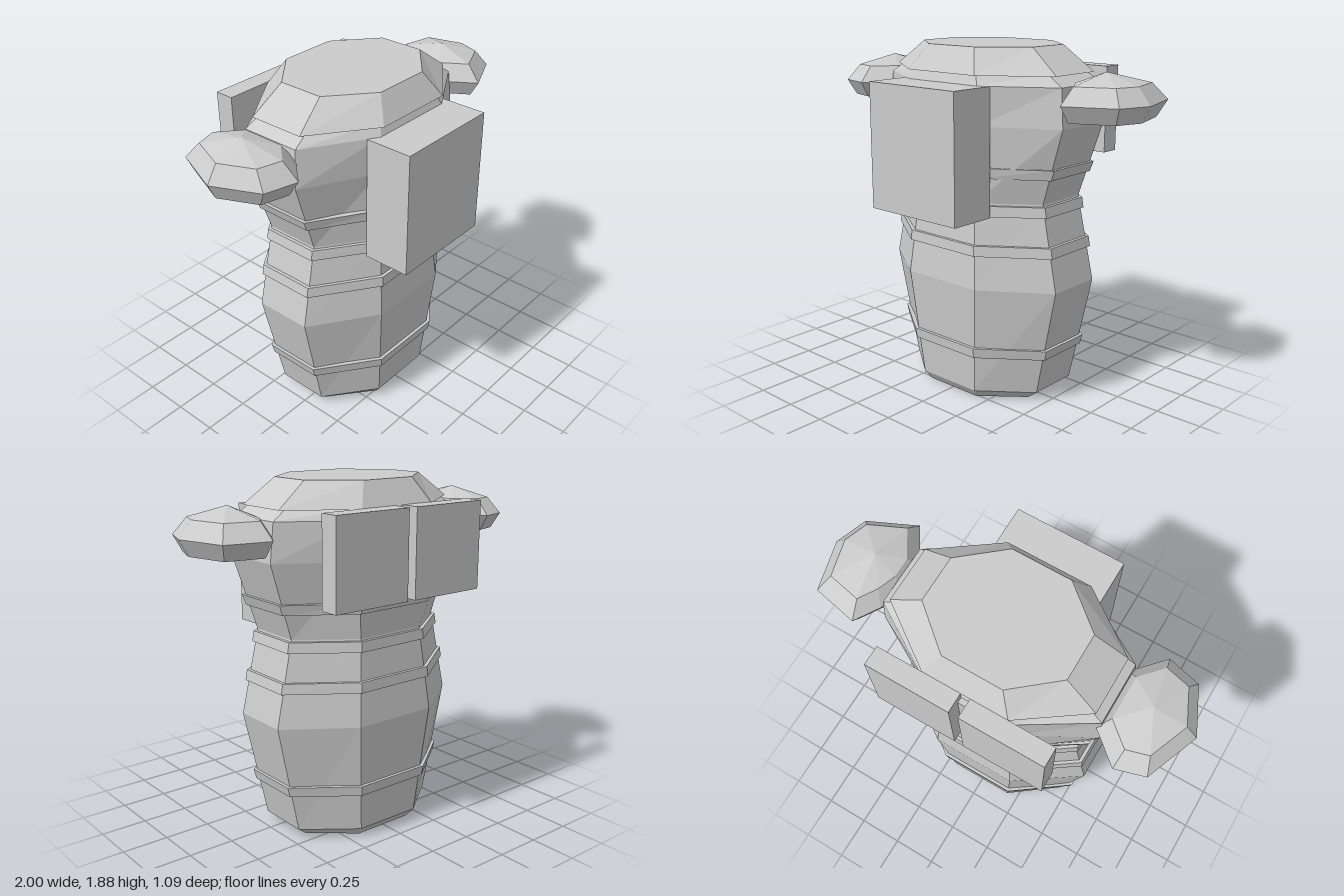
import * as THREE from 'three';

const material = new THREE.MeshStandardMaterial({ color: 0xcccccc, flatShading: true });

function add(group, name, geometry) {
  const mesh = new THREE.Mesh(geometry, material);
  mesh.name = name;
  group.add(mesh);
  return mesh;
}

// Closed faceted solid through equal-length rings of [x, y, z] points.
function loft(rings) {
  const pos = [];
  const tri = (a, b, c) => pos.push(...a, ...b, ...c);
  const n = rings[0].length;
  for (let r = 0; r < rings.length - 1; r++) {
    for (let i = 0; i < n; i++) {
      const j = (i + 1) % n, lo = rings[r], hi = rings[r + 1];
      tri(lo[i], lo[j], hi[j]);
      tri(lo[i], hi[j], hi[i]);
    }
  }
  const mid = (ring) => [0, 1, 2].map((k) => ring.reduce((s, p) => s + p[k], 0) / n);
  const bottom = rings[0], top = rings[rings.length - 1];
  for (let i = 0; i < n; i++) {
    const j = (i + 1) % n;
    tri(mid(bottom), bottom[j], bottom[i]);
    tri(mid(top), top[i], top[j]);
  }
  const geometry = new THREE.BufferGeometry();
  geometry.setAttribute('position', new THREE.Float32BufferAttribute(pos, 3));
  geometry.computeVertexNormals();
  return geometry;
}

// Eight-sided torso section: height, half width, flat half width,
// front z, back z, side front z, side back z.
function octagon([y, w, f, zf, zb, sf, sb]) {
  return [[w, y, sf], [w, y, sb], [f, y, zb], [-f, y, zb],
    [-w, y, sb], [-w, y, sf], [-f, y, zf], [f, y, zf]];
}

const torso = [
  [0, 0.39, 0.17, 0.26, -0.36, 0.08, -0.18],
  [0.05, 0.455, 0.19, 0.295, -0.4, 0.09, -0.2],
  [0.65, 0.585, 0.24, 0.345, -0.45, 0.11, -0.21],
  [1.1, 0.485, 0.2, 0.3, -0.4, 0.1, -0.2],
  [1.5, 0.615, 0.24, 0.315, -0.43, 0.12, -0.22],
  [1.7, 0.595, 0.24, 0.325, -0.44, 0.11, -0.22],
  [1.76, 0.5, 0.21, 0.3, -0.41, 0.1, -0.2],
];

// Torso section at any height, pushed outwards by d.
function sectionAt(y, d) {
  const k = torso.findIndex((s) => s[0] >= y);
  const a = torso[k - 1], b = torso[k], t = (y - a[0]) / (b[0] - a[0]);
  const [, w, f, zf, zb, sf, sb] = a.map((v, i) => v + (b[i] - v) * t);
  return [y, w + d, f + d * 0.4, zf + d, zb - d, sf + d * 0.4, sb - d * 0.4];
}

// Shoulder pad: one outline scaled about its centre at several heights.
function pad(outline, cx, cz) {
  const levels = [[1.52, 0.01], [1.55, 0.82], [1.635, 1], [1.72, 0.73], [1.775, 0.01]];
  return loft(levels.map(([y, s]) =>
    outline.map(([x, z]) => [cx + (x - cx) * s, y, cz + (z - cz) * s])));
}

function box(group, name, x0, x1, y0, y1, z0, z1) {
  add(group, name, new THREE.BoxGeometry(x1 - x0, y1 - y0, z1 - z0))
    .position.set((x0 + x1) / 2, (y0 + y1) / 2, (z0 + z1) / 2);
}

export function createModel() {
  const group = new THREE.Group();
  group.name = 'armoredTorso';

  add(group, 'torso', loft(torso.map(octagon)));

  // Thin raised bands that follow the torso
  [0.26, 0.83, 1.035, 1.235].forEach((y, i) => {
    add(group, `band${i + 1}`,
      loft([sectionAt(y, 0.016), sectionAt(y + 0.055, 0.018)].map(octagon)));
  });

  // Bevelled collar cap
  add(group, 'collarCap', loft([
    [1.75, 0.555, 0.23, 0.335, -0.44, 0.1, -0.21],
    [1.88, 0.38, 0.16, 0.255, -0.365, 0.07, -0.18],
  ].map(octagon)));

  // Chest box and paired back boxes with a narrow joining strip
  box(group, 'chestBox', -0.3, 0.295, 1.035, 1.7, 0.29, 0.545);
  box(group, 'backBoxLeft', 0.02, 0.475, 1.29, 1.755, -0.545, -0.44);
  box(group, 'backBoxRight', -0.48, -0.03, 1.29, 1.755, -0.545, -0.44);
  box(group, 'backStrip', -0.035, 0.025, 1.29, 1.7, -0.47, -0.4);

  // Irregular faceted shoulder pads
  add(group, 'shoulderPadLeft', pad([[1, -0.04], [0.93, -0.31], [0.69, -0.36], [0.61, -0.23],
    [0.565, -0.1], [0.565, 0.05], [0.69, 0.245], [0.94, 0.13]], 0.74, -0.05));
  add(group, 'shoulderPadRight', pad([[-1, -0.04], [-0.89, 0.2], [-0.715, 0.245], [-0.575, 0.09],
    [-0.575, -0.23], [-0.735, -0.365], [-0.89, -0.32]], -0.765, -0.06));

  return group;
}
